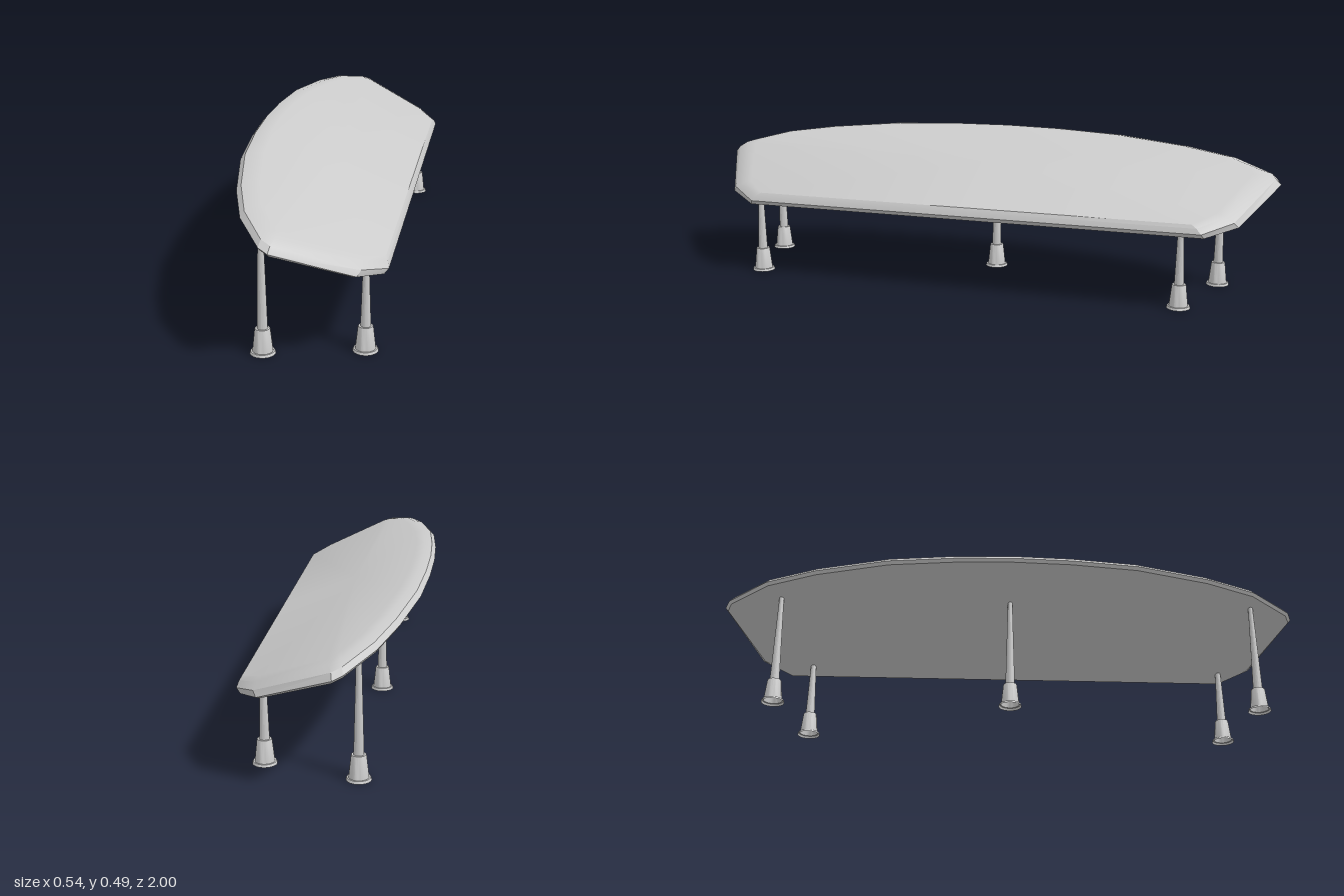
import * as THREE from 'three';
import { toCreasedNormals } from 'three/addons/utils/BufferGeometryUtils.js';

const TILT = 0.3945;
const material = new THREE.MeshStandardMaterial({ color: 0xcccccc, side: THREE.DoubleSide });

// Half outlines seen from above [x, z], from the middle of the high curved edge to the low straight edge
const rim = [[-0.272, 0], [-0.267, 0.2], [-0.25, 0.43], [-0.203, 0.68], [-0.152, 0.85],
  [-0.07, 0.985], [-0.04, 1], [0.2, 0.89], [0.268, 0.79], [0.268, 0]];
const face = [[-0.205, 0], [-0.2, 0.18], [-0.182, 0.39], [-0.14, 0.63], [-0.1, 0.785],
  [-0.045, 0.895], [-0.02, 0.91], [0.195, 0.82], [0.258, 0.75], [0.258, 0]];

// Mirror a half outline across z = 0 into a closed loop
function closeLoop(half) {
  const mirrored = half.slice(1, -1).reverse().map(([x, z]) => [x, -z]);
  return half.concat(mirrored);
}

// Bevelled slab: stacked loops along the tilted normal, closed by fans
function slabGeometry() {
  const outer = closeLoop(rim), inner = closeLoop(face), n = outer.length;
  // [height along the normal, blend from rim to face, shift of the low edge]
  const levels = [[0.323, 0.1, -0.025], [0.331, 0, -0.011], [0.35, 0.2, 0.004],
    [0.364, 0.58, 0.002], [0.3715, 1, 0]];
  const pos = [], index = [];
  const add = (x, z, v) => pos.push(x, (v - x * Math.sin(TILT)) / Math.cos(TILT), z);

  for (const [v, t, shift] of levels) {
    outer.forEach(([x, z], i) => {
      const low = THREE.MathUtils.clamp((x - 0.05) / 0.2, 0, 1);
      add(x + (inner[i][0] - x) * t + shift * low, z + (inner[i][1] - z) * t, v);
    });
  }
  const bottomCentre = pos.length / 3;
  add(0, 0, levels[0][0]);
  add(0, 0, levels[levels.length - 1][0]);
  const top = (levels.length - 1) * n;

  for (let i = 0; i < n; i++) {
    const j = (i + 1) % n;
    for (let k = 0; k < top; k += n) {
      index.push(k + i, k + j, k + n + j, k + i, k + n + j, k + n + i);
    }
    index.push(bottomCentre, j, i, bottomCentre + 1, top + i, top + j);
  }
  const geometry = new THREE.BufferGeometry();
  geometry.setAttribute('position', new THREE.Float32BufferAttribute(pos, 3));
  geometry.setIndex(index);
  return toCreasedNormals(geometry, 0.45);
}

// Leg: flanged foot, tapered socket and slim tapered post, open underneath
function makeLeg(x, z, height, topRadius, name) {
  const leg = new THREE.Group();
  leg.name = name;
  const turned = (points, part) => {
    const lathe = new THREE.LatheGeometry(points.map(([r, y]) => new THREE.Vector2(r, y)), 20);
    lathe.deleteAttribute('normal');
    lathe.deleteAttribute('uv');
    const mesh = new THREE.Mesh(toCreasedNormals(lathe, 0.6), material);
    mesh.name = part;
    leg.add(mesh);
  };
  turned([[0.039, 0], [0.038, 0.005], [0.036, 0.008], [0.031, 0.008],
    [0.0235, 0.076], [0.022, 0.08], [0.015, 0.08]], 'socket');
  turned([[0.016, 0.079], [topRadius, height]], 'post');
  leg.position.set(x, 0, z);
  return leg;
}

export function createModel() {
  const model = new THREE.Group();
  model.name = 'slopedPanelStand';

  const panel = new THREE.Mesh(slabGeometry(), material);
  panel.name = 'panel';
  model.add(panel);

  // Tall legs under the curved edge, short legs under the straight edge
  for (const z of [0.845, -0.005, -0.8]) model.add(makeLeg(-0.094, z, 0.395, 0.008, 'tallLeg'));
  for (const z of [0.78, -0.71]) model.add(makeLeg(0.203, z, 0.272, 0.0095, 'shortLeg'));
  return model;
}
